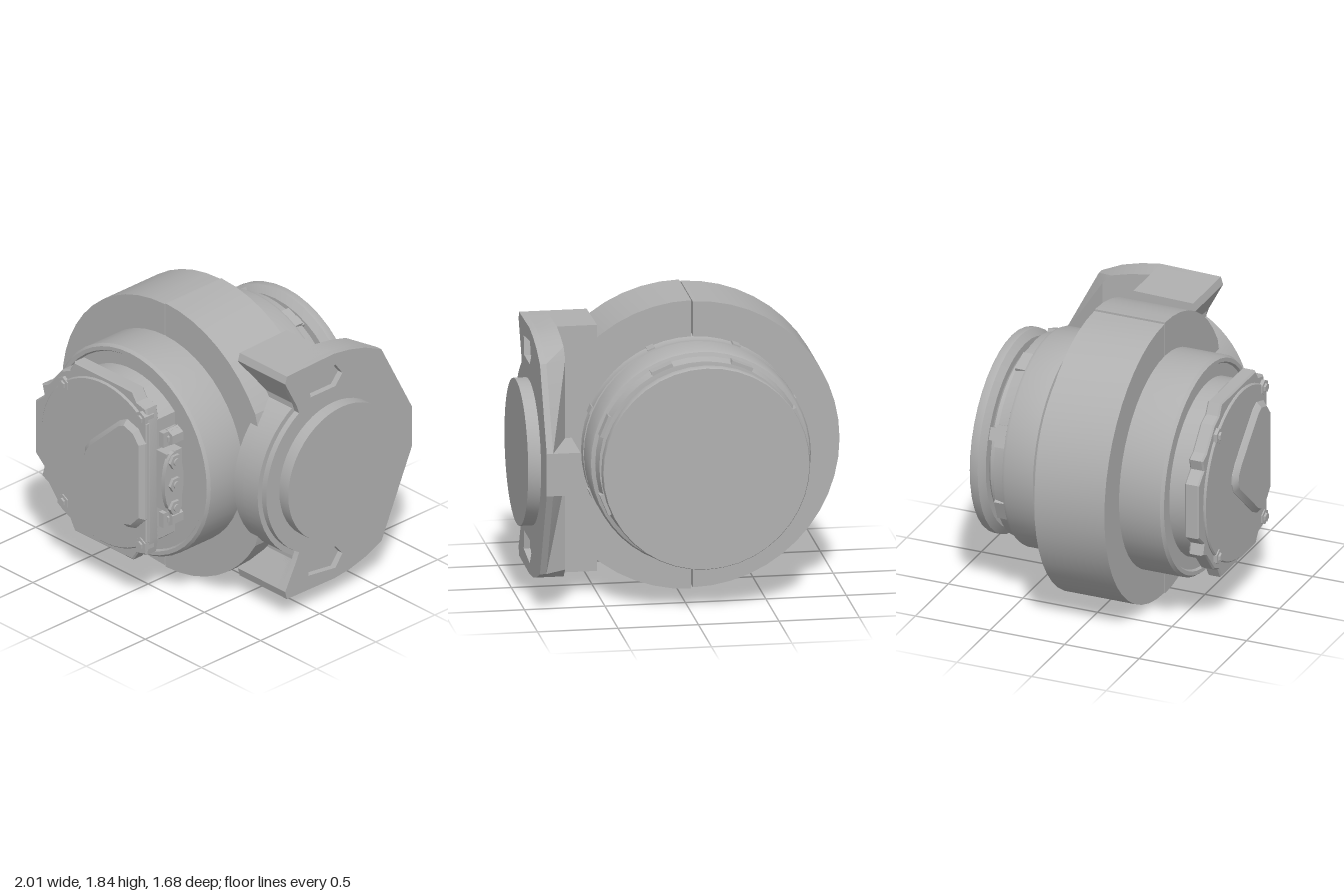
import * as THREE from 'three';
import { toCreasedNormals } from 'three/addons/utils/BufferGeometryUtils.js';

const CX = -0.09, CY = 0.92; // main axis of the unit, running along z

export function createModel() {
  const model = new THREE.Group();
  const metal = new THREE.MeshStandardMaterial({ color: 0xb0b0b0 });
  metal.name = 'grey metal';

  const add = (name, geometry, crease = 0.5) => {
    const mesh = new THREE.Mesh(toCreasedNormals(geometry, crease), metal);
    mesh.name = name;
    model.add(mesh);
    return mesh;
  };
  const polygon = (pts) => new THREE.Shape(pts.map(([x, y]) => new THREE.Vector2(x, y)));
  const arc = (cx, cy, r, a0, a1, n) => Array.from({ length: n + 1 }, (_, i) => {
    const a = a0 + (a1 - a0) * i / n;
    return [cx + r * Math.cos(a), cy + r * Math.sin(a)];
  });
  // Extrude an (x, y) outline along z
  const alongZ = (shape, z0, z1, bevel = 0) => new THREE.ExtrudeGeometry(shape, {
    depth: z1 - z0 - bevel, bevelEnabled: bevel > 0, bevelSize: bevel, bevelThickness: bevel,
    bevelOffset: -bevel, bevelSegments: 1,
  }).translate(0, 0, z0);
  // Extrude a (-z, y) outline along x
  const alongX = (shape, x0, x1) => new THREE.ExtrudeGeometry(shape, { depth: x1 - x0, bevelEnabled: false })
    .rotateY(Math.PI / 2).translate(x0, 0, 0);
  // Turned part about the main axis, from [radius, z] pairs
  const turned = (pts, sides = 48) => new THREE.LatheGeometry(
    pts.map(([r, z]) => new THREE.Vector2(r, z)), sides).rotateX(Math.PI / 2).translate(CX, CY, 0);
  const hexZ = (r, x, y, z0, z1) => new THREE.CylinderGeometry(r, r, z1 - z0, 6)
    .rotateX(Math.PI / 2).translate(x, y, (z0 + z1) / 2);
  const hexX = (r, y, z, x0, x1, sides = 6) => new THREE.CylinderGeometry(r, r, x1 - x0, sides)
    .rotateZ(Math.PI / 2).translate((x0 + x1) / 2, y, z);
  const clippedDisc = (r, xMax) => {
    const a = Math.acos((xMax - CX) / r);
    return polygon(arc(CX, CY, r, a, 2 * Math.PI - a, 40));
  };

  // Clamp ring in two halves with a narrow seam between
  const gap = 0.005;
  add('clampRingOuterHalf', alongZ(polygon(arc(CX - gap, CY, 0.912, Math.PI / 2, Math.PI * 1.5, 24)), -0.2, 0.27), 0.3);
  const inner = arc(CX + gap, CY, 0.92, -Math.PI / 2, Math.PI / 2, 24).map(([x, y]) => [Math.min(x, 0.74), y]);
  add('clampRingFlangeHalf', alongZ(polygon(inner), -0.2, 0.27), 0.3);

  // Drum passing through the ring
  add('drum', turned([[0, -0.6], [0.6, -0.6], [0.64, -0.595], [0.655, -0.53], [0.68, -0.52], [0.69, -0.5],
    [0.69, -0.31], [0.67, -0.305], [0.67, -0.285], [0.69, -0.28], [0.69, -0.2], [0.695, -0.19],
    [0.695, 0.545], [0.68, 0.565], [0.655, 0.565], [0.645, 0.55], [0, 0.55]]));

  // Rear neck and closing disc
  add('rearNeck', turned([[0, -0.665], [0.55, -0.665], [0.565, -0.65], [0.565, -0.62], [0.55, -0.595], [0, -0.595]]));
  add('rearDisc', turned([[0, -0.755], [0.64, -0.755], [0.645, -0.745], [0.645, -0.7], [0.6, -0.665], [0, -0.665]], 40));

  // Lugs around the rear of the drum
  for (let i = 0; i < 8; i++) {
    const a = (i + 0.5) * Math.PI / 4;
    const place = (name, w, d, r, z) => add(name, new THREE.BoxGeometry(0.05, w, d)
      .translate(r, 0, 0).rotateZ(a).translate(CX, CY, z));
    place('rearLug', 0.14, 0.07, 0.635, -0.56);
    place('drumRib', 0.05, 0.08, 0.673, -0.24);
    if (i % 2) place('neckClip', 0.08, 0.09, 0.56, -0.64);
  }

  // Front housing, lobed cover flange and cover plate
  add('frontHousing', alongZ(clippedDisc(0.565, 0.29), 0.54, 0.7));
  const half = [[0.29, 0.4], [0.27, 0.51], [0.19, 0.53], [0.15, 0.59], [-0.37, 0.59], [-0.41, 0.52], [-0.48, 0.49],
    [-0.6, 0.35], [-0.66, 0.32], [-0.64, 0.25], [-0.72, 0.18]];
  const lobes = [...half, ...half.map(([x, y]) => [x, -y]).reverse()].map(([x, y]) => [x, CY + y]);
  add('coverFlange', alongZ(polygon(lobes), 0.69, 0.775, 0.01), 0.3);
  add('coverPlate', alongZ(clippedDisc(0.56, 0.288), 0.76, 0.79, 0.008));

  // Raised rounded triangle on the cover
  const bump = polygon([[-0.25, 0.97], [-0.255, 0.91], [-0.23, 0.85], [0.06, 0.59], [0.12, 0.56], [0.2, 0.58],
    [0.285, 0.67], [0.285, 1.2], [0.22, 1.28], [0.12, 1.31], [0.06, 1.28], [-0.2, 1.04]]);
  add('coverBump', alongZ(bump, 0.77, 0.825, 0.03), 0.4);

  // Cover screws and larger hex bolts beside the flat
  for (const s of [1, -1]) {
    for (const [x, y] of [[-0.45, 0.41], [0.24, 0.44]]) {
      add('screwPad', hexZ(0.05, x, CY + s * y, 0.72, 0.798), 0.1);
      add('coverScrew', hexZ(0.028, x, CY + s * y, 0.79, 0.812), 0.1);
    }
    add('sideBoltBoss', new THREE.BoxGeometry(0.1, 0.1, 0.15).translate(0.28, CY + s * 0.28, 0.61));
    add('sideBolt', hexZ(0.058, 0.315, CY + s * 0.28, 0.55, 0.64), 0.1);
    add('sideBoltTip', hexZ(0.03, 0.315, CY + s * 0.28, 0.64, 0.655), 0.1);
  }

  // Side connector with three hex plugs
  add('connectorBlock', new THREE.BoxGeometry(0.12, 0.4, 0.13).translate(0.32, CY + 0.01, 0.64));
  const oval = Array.from({ length: 20 }, (_, i) => {
    const a = i * Math.PI / 10;
    return [-0.66 + 0.08 * Math.cos(a), CY + 0.01 + 0.21 * Math.sin(a)];
  });
  add('connectorPlate', alongX(polygon(oval), 0.37, 0.4));
  for (const y of [-0.16, 0, 0.16]) {
    add('plug', hexX(0.05, CY + y, 0.66, 0.39, 0.42), 0.1);
    add('plugTip', hexX(0.025, CY + y, 0.66, 0.42, 0.43, 12), 0.6);
  }

  // Side flange: outline in (-z, y), lobed at the front and faceted at the back
  const FZ = 0.19;
  const outline = (r) => polygon([
    [-0.12, 0.38], [-0.215, 0.2], [-0.2, 0.145], [0.2, 0.14], [0.33, 0.155], [0.46, 0.19], [0.6, 0.25],
    [0.86, 0.82], [0.86, 1.09], [0.6, 1.59], [0.46, 1.655], [0.33, 1.69], [0.2, 1.71], [-0.2, 1.7],
    [-0.215, 1.65], [-0.12, 1.47], ...arc(FZ, CY, r, Math.PI * 0.67, Math.PI * 1.33, 20)]);
  const plate = alongX(outline(0.6), 0.75, 0.88);
  const p = plate.attributes.position;
  for (let i = 0; i < p.count; i++) { // chamfer the inner rear edge
    if (p.getX(i) < 0.8) p.setZ(i, Math.max(p.getZ(i), -0.52));
  }
  add('flangePlate', plate, 0.3);

  // Outer flange layer with a pocket at each ear
  const face = outline(0.565);
  for (const s of [1, -1]) {
    face.holes.push(new THREE.Path([[-0.02, 0.68], [0.21, 0.71], [0.27, 0.63], [0.21, 0.56], [0, 0.56]]
      .map(([u, v]) => new THREE.Vector2(u, CY + s * v))));
  }
  add('flangeFace', alongX(face, 0.88, 0.92), 0.3);
  add('flangeBoss', hexX(0.455, CY, -FZ, 0.9, 1.0, 48));

  // Rounded front lobe and the ears joining ring to flange
  add('flangeLobe', alongX(polygon(arc(FZ, CY, 0.6, Math.PI * 0.6, Math.PI * 1.4, 24)), 0.67, 0.88), 0.3);
  add('flangeEars', alongX(polygon([[0.2, 0.14], [0.2, 1.71], [-0.2, 1.7], [-0.215, 1.65], [-0.12, 1.47],
    [-0.12, 0.38], [-0.215, 0.2], [-0.2, 0.145]]), 0.5, 0.88), 0.3);

  // Rear stop block on the flange
  add('stopBlock', new THREE.BoxGeometry(0.2, 0.27, 0.34).translate(0.81, 0.955, -0.69));

  return model;
}
